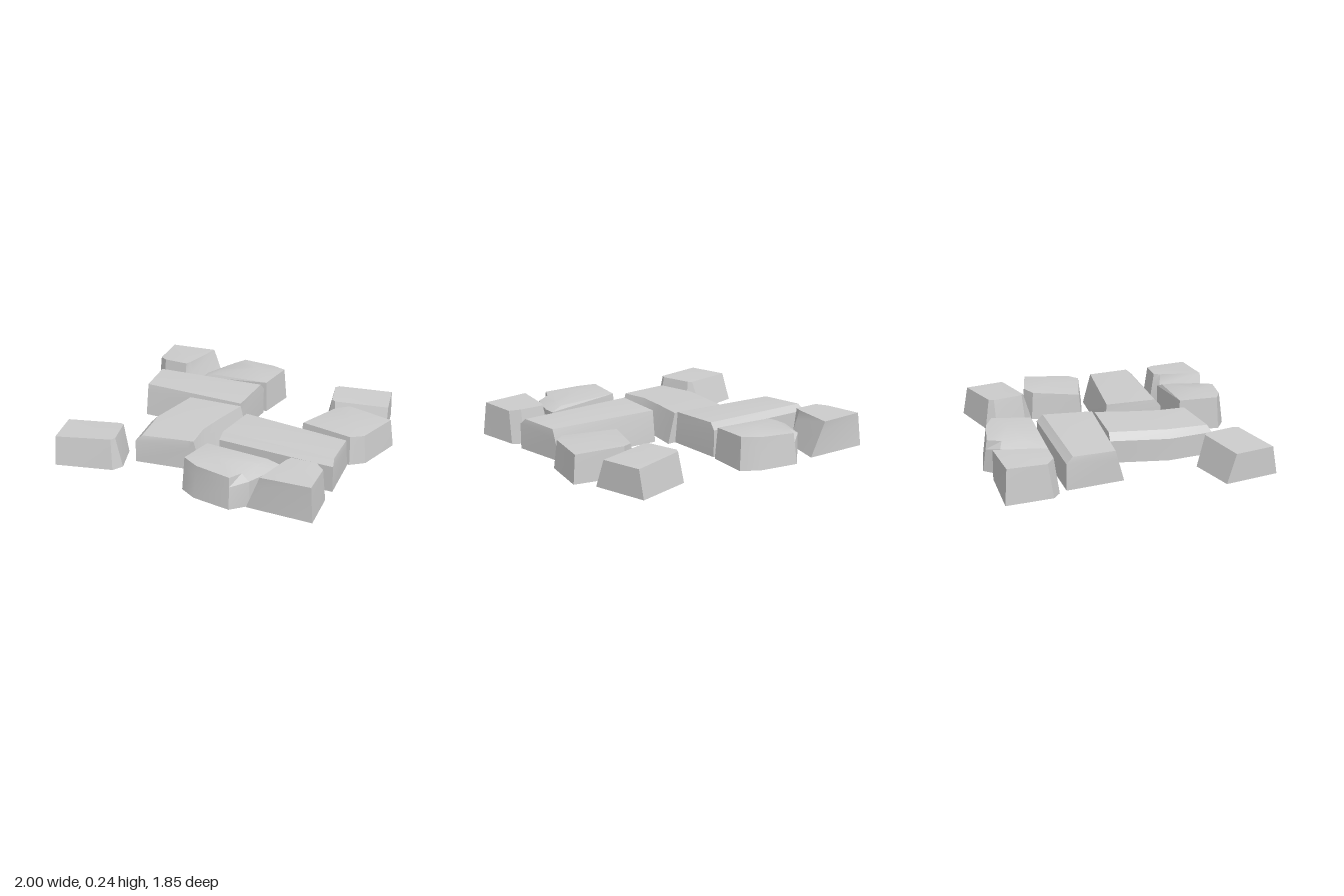
import * as THREE from 'three';
import { toCreasedNormals } from 'three/addons/utils/BufferGeometryUtils.js';

const material = new THREE.MeshStandardMaterial({ color: 0xcccccc, side: THREE.DoubleSide });

// Each corner: ground x, z, then crown x, y, z, and an optional rim height
// where the upright wall breaks into a bevel. The crown closes on a peak.
const taperedStone = {
  center: [-0.78, -0.71], peak: [-0.8, 0.237, -0.74],
  corners: [
    [-1.0, -0.89, -0.98, 0.23, -0.875], [-0.55, -0.89, -0.65, 0.235, -0.905],
    [-0.63, -0.58, -0.69, 0.235, -0.61], [-0.7, -0.53, -0.705, 0.235, -0.565],
    [-0.88, -0.53, -0.88, 0.235, -0.565], [-0.95, -0.58, -0.945, 0.225, -0.615],
  ],
};
const roundedStone = {
  center: [-0.27, -0.73], peak: [-0.2, 0.235, -0.73],
  corners: [
    [-0.39, -0.93, -0.38, 0.205, -0.9], [-0.12, -0.89, -0.13, 0.215, -0.865],
    [0.0, -0.82, -0.015, 0.225, -0.81], [-0.025, -0.53, -0.035, 0.215, -0.545],
    [-0.55, -0.53, -0.47, 0.2, -0.545, 0.17], [-0.55, -0.62, -0.46, 0.205, -0.64, 0.17],
    [-0.48, -0.83, -0.42, 0.205, -0.81, 0.17],
  ],
};
const longStone = {
  center: [-0.42, -0.3], peak: [-0.42, 0.232, -0.3],
  corners: [
    [-0.85, -0.48, -0.835, 0.215, -0.435, 0.175], [-0.035, -0.505, -0.04, 0.23, -0.465, 0.185],
    [-0.02, -0.1, -0.025, 0.22, -0.12], [-0.77, -0.09, -0.785, 0.21, -0.15],
  ],
};
const cornerStone = {
  center: [-0.73, 0.66], peak: [-0.74, 0.2, 0.67],
  corners: [
    [-0.99, 0.52, -0.975, 0.19, 0.585], [-0.65, 0.43, -0.615, 0.2, 0.495],
    [-0.56, 0.49, -0.585, 0.203, 0.51], [-0.475, 0.71, -0.52, 0.203, 0.72],
    [-0.51, 0.785, -0.535, 0.203, 0.755], [-0.89, 0.89, -0.9, 0.19, 0.855],
  ],
};
const middleStone = {
  center: [-0.23, 0.24], peak: [-0.25, 0.208, 0.25],
  corners: [
    [-0.45, -0.1, -0.41, 0.2, -0.1, 0.15], [0.04, -0.1, -0.015, 0.21, -0.1],
    [0.005, 0.13, -0.05, 0.207, 0.13], [0.0, 0.34, -0.07, 0.205, 0.34],
    [0.02, 0.525, -0.04, 0.2, 0.53], [-0.06, 0.545, -0.08, 0.2, 0.535],
    [-0.44, 0.6, -0.4, 0.19, 0.58, 0.15], [-0.5, 0.29, -0.45, 0.2, 0.29, 0.15],
  ],
};
const sideStone = {
  center: [0.72, -0.23], peak: [0.74, 0.21, -0.24],
  corners: [
    [0.65, -0.475, 0.65, 0.2, -0.465], [0.995, -0.41, 0.975, 0.19, -0.4],
    [0.93, -0.07, 0.91, 0.19, -0.08], [0.845, 0.005, 0.835, 0.19, -0.02],
    [0.44, -0.085, 0.46, 0.185, -0.1], [0.54, -0.43, 0.565, 0.19, -0.415],
  ],
};

// Three rings (ground, rim, crown) joined by walls, open underneath
function stoneGeometry({ center, peak, corners }) {
  const move = (x, y, z) => [x - center[0], y, z - center[1]];
  const mix = (a, b) => a + (b - a) * 0.7;
  const rings = [
    corners.map(([x, z]) => move(x, 0, z)),
    corners.map(([x, z, cx, cy, cz, rim]) =>
      rim ? move(x, rim, z) : move(mix(x, cx), cy * 0.7, mix(z, cz))),
    corners.map(([, , cx, cy, cz]) => move(cx, cy, cz)),
  ];
  const top = move(...peak);
  const out = [];
  corners.forEach((_, i) => {
    const j = (i + 1) % corners.length;
    for (let r = 0; r < 2; r++) {
      const lo = rings[r], hi = rings[r + 1];
      out.push(...lo[i], ...hi[i], ...lo[j], ...lo[j], ...hi[i], ...hi[j]);
    }
    out.push(...top, ...rings[2][j], ...rings[2][i]);
  });
  const geometry = new THREE.BufferGeometry();
  geometry.setAttribute('position', new THREE.Float32BufferAttribute(out, 3));
  return toCreasedNormals(geometry, 0.4);
}

export function createModel() {
  const group = new THREE.Group();
  group.name = 'pavingStones';

  const place = (name, stone, [x, z] = stone.center, turn = 0) => {
    const mesh = new THREE.Mesh(stoneGeometry(stone), material);
    mesh.name = name;
    mesh.position.set(x, 0, z);
    mesh.rotation.y = turn;
    group.add(mesh);
  };

  // Back half of the path
  place('taperedStoneBack', taperedStone);
  place('roundedStoneBack', roundedStone);
  place('longStoneBack', longStone);
  place('cornerStoneFront', cornerStone);

  // The same stones turned half way round
  place('taperedStoneFront', taperedStone, [0.73, 0.66], Math.PI);
  place('roundedStoneFront', roundedStone, [0.3, 0.72], Math.PI);
  place('longStoneFront', longStone, [0.475, 0.21], Math.PI - 0.045);
  place('cornerStoneBack', cornerStone, [0.64, -0.66], Math.PI);

  // Single stones
  place('middleStone', middleStone);
  place('sideStone', sideStone);
  return group;
}
